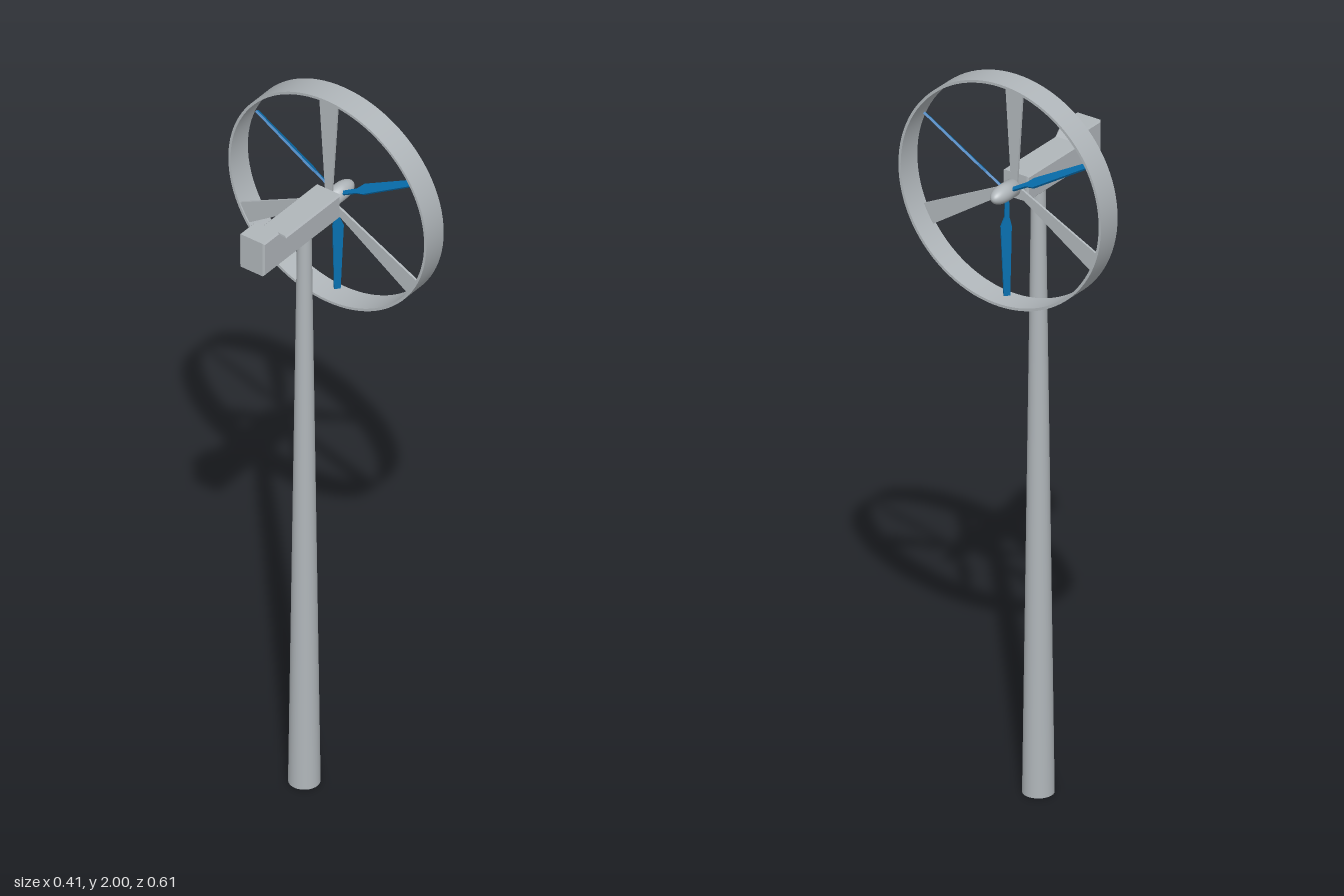
import * as THREE from 'three';

const grey = new THREE.MeshStandardMaterial({ color: 0xb0b6ba });
grey.name = 'paintedGrey';
const blue = new THREE.MeshStandardMaterial({ color: 0x0870b0 });
blue.name = 'bladeBlue';

const AXIS_Y = 1.696; // height of the rotor axis
const RING_X = 0.136; // middle of the duct ring

function add(parent, name, geometry, material) {
  const mesh = new THREE.Mesh(geometry, material);
  mesh.name = name;
  parent.add(mesh);
  return mesh;
}

function polygon(points) {
  return new THREE.Shape(points.map(([x, y]) => new THREE.Vector2(x, y)));
}

// Plate in the XY plane, centred on its thickness
function plate(points, depth) {
  return new THREE.ExtrudeGeometry(polygon(points), { depth, bevelEnabled: false })
    .translate(0, 0, -depth / 2);
}

export function createModel() {
  const model = new THREE.Group();
  model.name = 'ductedWindTurbine';

  // Tapered tower with a small collar under the nacelle
  add(model, 'tower', new THREE.CylinderGeometry(0.018, 0.04, 1.65, 32), grey)
    .position.set(0.008, 0.825, 0);
  add(model, 'towerCollar', new THREE.CylinderGeometry(0.015, 0.015, 0.03, 24), grey)
    .position.set(0.008, 1.655, 0);

  // Nacelle: side profile with a raised tail, lightly bevelled
  const bevel = 0.004;
  const profile = [
    [-0.201, 1.666], [0.101, 1.666], [0.101, 1.727],
    [-0.116, 1.727], [-0.145, 1.756], [-0.201, 1.756],
  ];
  const nacelle = new THREE.ExtrudeGeometry(polygon(profile), {
    depth: 0.068, bevelEnabled: true, bevelThickness: bevel, bevelSize: bevel, bevelSegments: 1,
  }).translate(0, 0, -0.034);
  add(model, 'nacelle', nacelle, grey);

  // Everything around the rotor axis
  const head = new THREE.Group();
  head.name = 'rotorHead';
  head.position.set(RING_X, AXIS_Y, 0);
  model.add(head);

  // Duct ring: closed rectangular section, lathed with hard edges
  const outer = 0.304, inner = 0.297, half = 0.035;
  const section = [[inner, -half], [outer, -half], [outer, half], [inner, half], [inner, -half]];
  const duct = new THREE.Group();
  duct.name = 'ductRing';
  head.add(duct);
  for (let i = 0; i < 4; i++) {
    const edge = [section[i], section[i + 1]].map(([r, y]) => new THREE.Vector2(r, y));
    add(duct, 'ductFace' + (i + 1), new THREE.LatheGeometry(edge, 96), grey).rotation.z = -Math.PI / 2;
  }

  // Hub shaft and rounded nose
  add(head, 'shaft', new THREE.CylinderGeometry(0.012, 0.012, 0.05, 24), grey)
    .rotation.z = -Math.PI / 2;
  const nosePoints = [new THREE.Vector2(0, -0.02), new THREE.Vector2(0.023, -0.02), new THREE.Vector2(0.023, 0.02)];
  for (let i = 1; i <= 10; i++) {
    const a = (i / 10) * Math.PI / 2;
    nosePoints.push(new THREE.Vector2(0.023 * Math.cos(a), 0.02 + 0.046 * Math.sin(a)));
  }
  add(head, 'hubNose', new THREE.LatheGeometry(nosePoints, 32), grey).rotation.z = -Math.PI / 2;

  const vaneShape = [[-0.009, 0.008], [0.009, 0.008], [0.028, 0.299], [-0.028, 0.299]];
  const bladeShape = [
    [-0.005, 0.01], [0.005, 0.01], [0.006, 0.07], [0.016, 0.095],
    [0.008, 0.285], [-0.008, 0.285], [-0.012, 0.095], [-0.006, 0.07],
  ];
  for (let i = 0; i < 3; i++) {
    const turn = (i * Math.PI * 2) / 3;

    // Fixed support vanes, facing along the axis behind the blades
    const vaneArm = new THREE.Group();
    vaneArm.name = 'vaneArm' + (i + 1);
    vaneArm.rotation.x = turn;
    head.add(vaneArm);
    const vane = add(vaneArm, 'supportVane', plate(vaneShape, 0.006), grey);
    vane.rotation.y = Math.PI / 2;
    vane.position.x = -0.028;

    // Pitched blades, set between the vanes
    const bladeArm = new THREE.Group();
    bladeArm.name = 'bladeArm' + (i + 1);
    bladeArm.rotation.x = turn + Math.PI;
    head.add(bladeArm);
    const blade = add(bladeArm, 'rotorBlade', plate(bladeShape, 0.006), blue);
    blade.rotation.y = Math.PI / 2 - 0.9;
    blade.position.x = 0.005;
  }

  return model;
}
